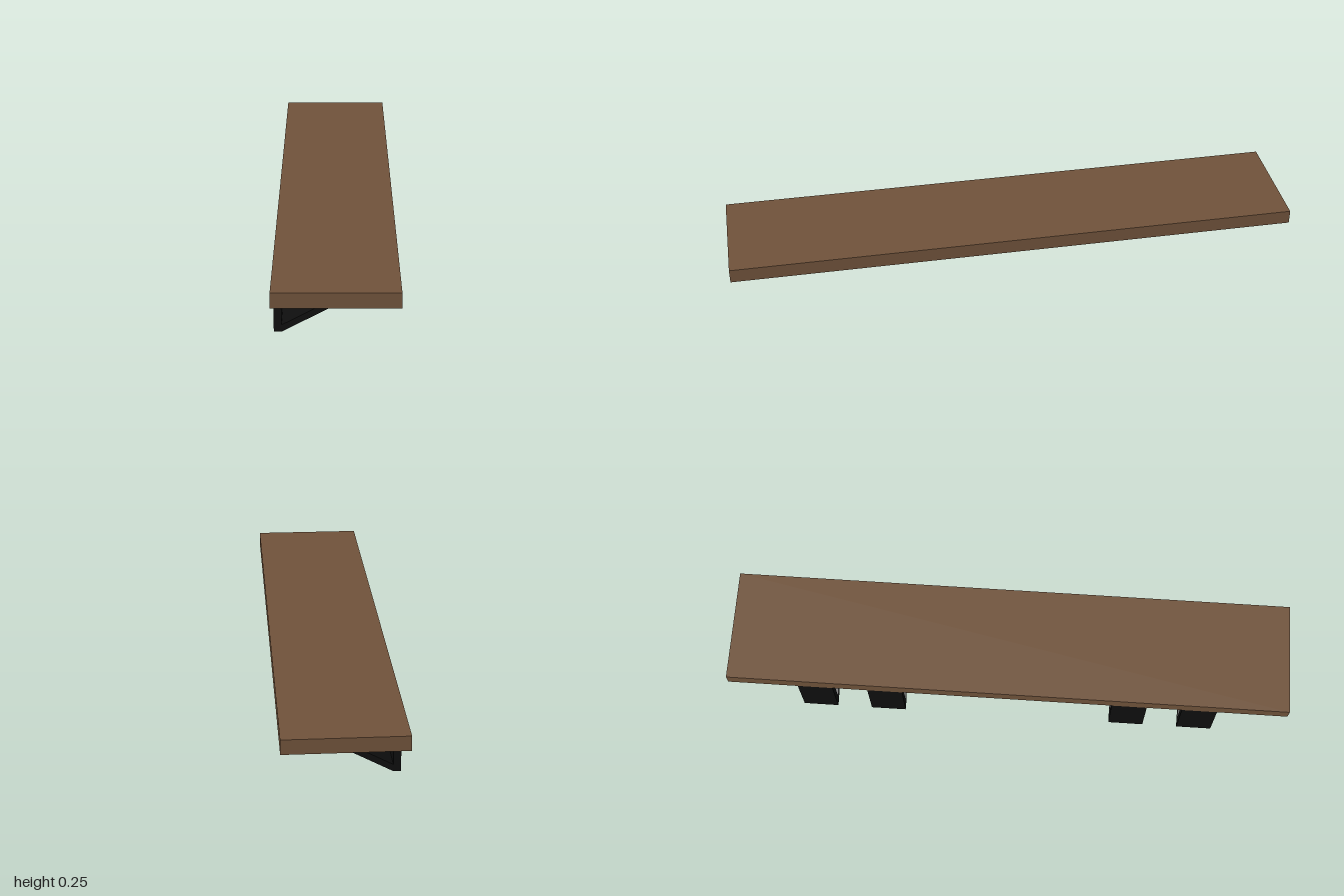
import * as THREE from 'three';

const UNDERSIDE = 0.196; // height where the brackets meet the board
const TOP = 0.246;
const BRACKET_WIDTH = 0.125;

// Side profile in x/y, extruded along z and centred on z = 0
function extrudeProfile(points) {
  const shape = new THREE.Shape(points.map(([x, y]) => new THREE.Vector2(x, y)));
  const geometry = new THREE.ExtrudeGeometry(shape, { depth: BRACKET_WIDTH, bevelEnabled: false });
  return geometry.translate(0, 0, -BRACKET_WIDTH / 2);
}

function namedMesh(name, geometry, material) {
  const mesh = new THREE.Mesh(geometry, material);
  mesh.name = name;
  return mesh;
}

export function createModel() {
  const wood = new THREE.MeshStandardMaterial({ color: 0x6f523a });
  wood.name = 'brown wood';
  const metal = new THREE.MeshStandardMaterial({ color: 0x0e0e0e });
  metal.name = 'black metal';

  const model = new THREE.Group();
  model.name = 'wallShelf';

  // Long flat board
  const board = namedMesh('board', new THREE.BoxGeometry(0.4, TOP - UNDERSIDE, 2), wood);
  board.position.y = (TOP + UNDERSIDE) / 2;
  model.add(board);

  // Upright wall plate, and a diagonal brace cut flush with plate and board
  const plateGeometry = extrudeProfile([[-0.2, 0], [-0.175, 0], [-0.175, UNDERSIDE], [-0.2, UNDERSIDE]]);
  const braceGeometry = extrudeProfile([[-0.175, 0], [0.19, UNDERSIDE], [0.145, UNDERSIDE], [-0.175, 0.024]]);

  // Two pairs of brackets, mirrored front to back
  for (const side of [1, -1]) {
    for (const z of [0.6875, 0.4375]) {
      const bracket = new THREE.Group();
      bracket.name = 'bracket';
      bracket.add(namedMesh('wallPlate', plateGeometry, metal));
      bracket.add(namedMesh('diagonalBrace', braceGeometry, metal));
      bracket.position.z = side * z;
      model.add(bracket);
    }
  }

  return model;
}
